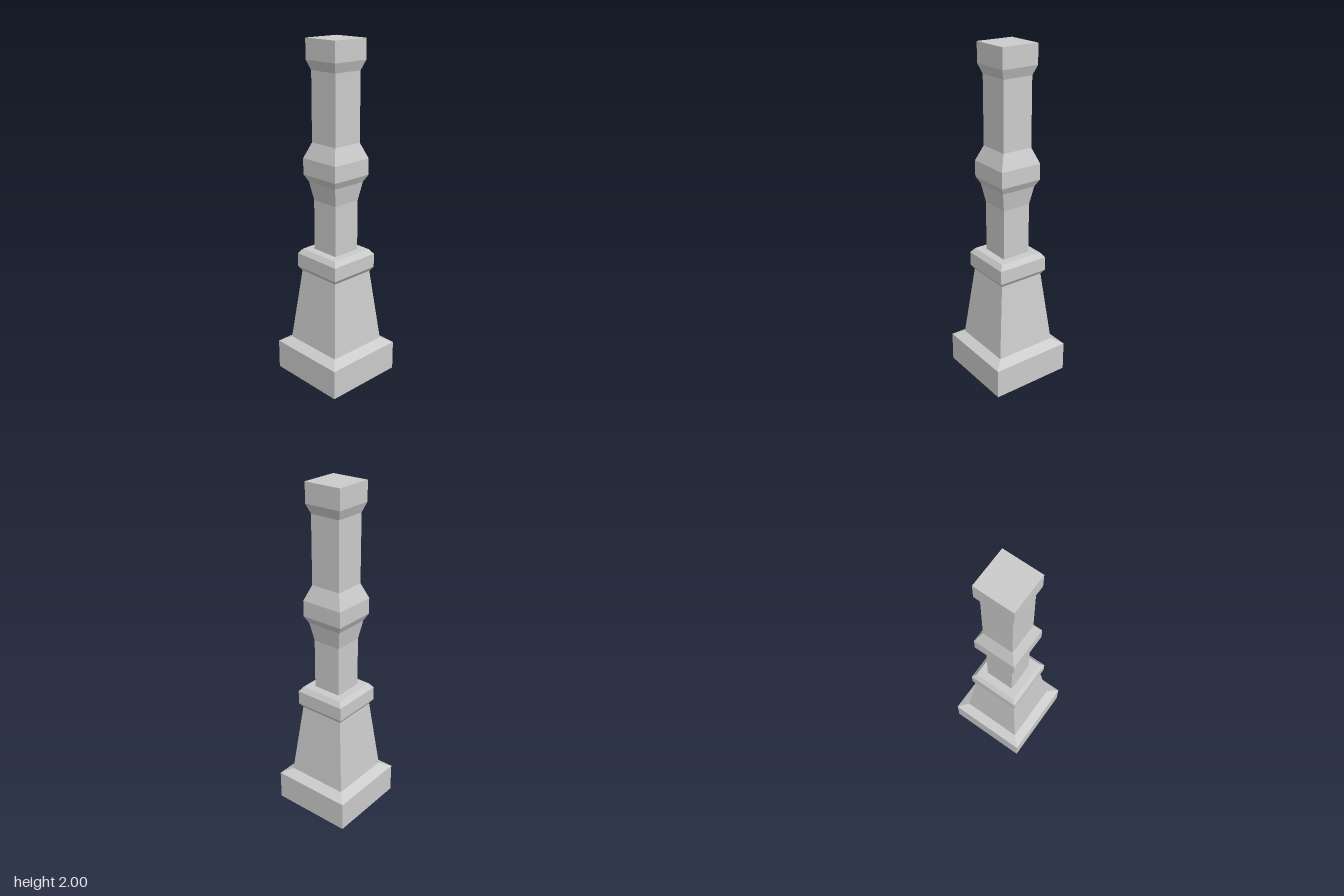
import * as THREE from 'three';

const material = new THREE.MeshStandardMaterial({ color: 0xcccccc, flatShading: true });

// Square section from [half width, height] pairs, bottom to top
function squareSection(name, profile) {
  const points = profile.map(([w, y]) => new THREE.Vector2(w * Math.SQRT2, y));
  const mesh = new THREE.Mesh(new THREE.LatheGeometry(points, 4, Math.PI / 4), material);
  mesh.name = name;
  return mesh;
}

export function createModel() {
  const group = new THREE.Group();
  group.name = 'squarePost';
  group.add(
    // Block foot with closed underside and bevelled top
    squareSection('plinth', [[0, 0], [0.248, 0], [0.248, 0.18], [0.19, 0.212]]),
    // Tapered pedestal
    squareSection('pedestal', [[0.19, 0.212], [0.14, 0.656]]),
    // Bevelled collar, its flat top running in to the shaft
    squareSection('collar', [[0.14, 0.656], [0.158, 0.682], [0.158, 0.765], [0.136, 0.794], [0.088, 0.794]]),
    // Lower shaft
    squareSection('lowerShaft', [[0.088, 0.794], [0.088, 1.095]]),
    // Flared swelling at mid height
    squareSection('middleKnop', [[0.088, 1.095], [0.108, 1.205], [0.13, 1.247], [0.13, 1.342], [0.094, 1.432]]),
    // Upper shaft
    squareSection('upperShaft', [[0.094, 1.432], [0.094, 1.83]]),
    // Flared cap with flat closed top
    squareSection('cap', [[0.094, 1.83], [0.115, 1.885], [0.115, 2], [0, 2]]),
  );
  return group;
}
